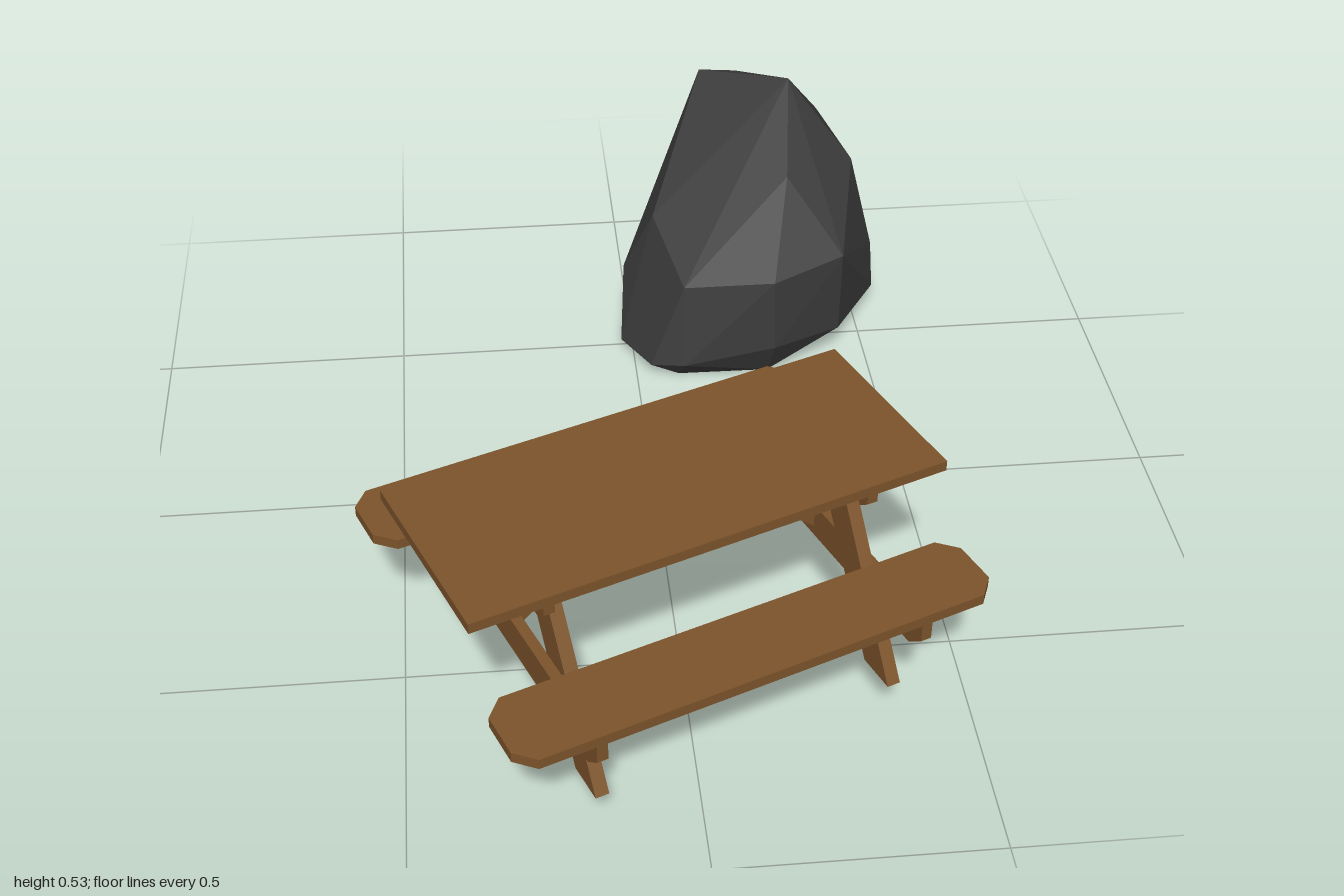
import * as THREE from 'three';
import { ConvexGeometry } from 'three/addons/geometries/ConvexGeometry.js';

const wood = new THREE.MeshStandardMaterial({ color: 0x7d542b });
wood.name = 'wood';
const stone = new THREE.MeshStandardMaterial({ color: 0x3c3c3c });
stone.name = 'stone';

// Flat board: outline extruded, centred on its thickness
function board(points, thickness, name) {
  const shape = new THREE.Shape(points.map(([x, y]) => new THREE.Vector2(x, y)));
  const geometry = new THREE.ExtrudeGeometry(shape, { depth: thickness, bevelEnabled: false });
  geometry.translate(0, 0, -thickness / 2);
  const mesh = new THREE.Mesh(geometry, wood);
  mesh.name = name;
  return mesh;
}

// Crossbeam outline with the lower corners cut off
function beamOutline(half, bottom, top, cut) {
  const mid = bottom + (top - bottom) * 0.45;
  return [[-half + cut, bottom], [half - cut, bottom], [half, mid],
    [half, top], [-half, top], [-half, mid]];
}

function box(w, h, d, x, y, z, name) {
  const mesh = new THREE.Mesh(new THREE.BoxGeometry(w, h, d), wood);
  mesh.position.set(x, y, z);
  mesh.name = name;
  return mesh;
}

function createTable() {
  const table = new THREE.Group();
  table.name = 'picnicTable';
  table.add(box(0.9, 0.02, 0.375, 0, 0.42, 0, 'tableTop'));
  table.add(box(0.07, 0.015, 0.06, 0, 0.4025, 0, 'centreCleat'));

  for (const side of [-1, 1]) {
    // Bench plank with clipped corners
    const L = 0.45, l = 0.417, W = 0.077, w = 0.043;
    const bench = board([[-l, -W], [l, -W], [L, -w], [L, w], [l, W], [-l, W], [-L, w], [-L, -w]], 0.02, 'bench');
    bench.rotation.x = -Math.PI / 2;
    bench.position.set(0, 0.272, side * 0.295);
    table.add(bench);

    // End frame: two crossbeams outside two splayed legs
    const frame = new THREE.Group();
    frame.name = 'endFrame';
    const parts = [
      [board(beamOutline(0.37, 0.195, 0.262, 0.035), 0.02, 'seatBeam'), 0.306],
      [board(beamOutline(0.18, 0.366, 0.41, 0.025), 0.02, 'topBeam'), 0.306],
    ];
    for (const s of [-1, 1]) {
      const leg = [[0.243, 0.085], [0.32, 0.085], [0.133, 0.41], [0.056, 0.41]];
      parts.push([board(leg.map(([z, y]) => [s * z, y]), 0.025, 'leg'), 0.284]);
    }
    for (const [mesh, offset] of parts) {
      mesh.rotation.y = -Math.PI / 2;
      mesh.position.x = side * offset;
      frame.add(mesh);
    }
    table.add(frame);

    // Diagonal brace from the seat beam up to the middle of the top
    const brace = [[0.052, 0.41], [0.296, 0.215], [0.296, 0.256], [0.102, 0.41]];
    table.add(board(brace.map(([x, y]) => [side * x, y]), 0.03, 'diagonalBrace'));
  }
  table.position.set(-0.027, 0, 0.496);
  table.rotation.y = THREE.MathUtils.degToRad(21.85);
  return table;
}

// Faceted boulder as the hull of a few corner points
function createBoulder() {
  const corners = [
    // crown
    [0.355, 0.53, -0.70], [0.18, 0.48, -0.85], [0.255, 0.49, -0.82],
    // shoulders
    [0.445, 0.37, -0.85], [0.49, 0.36, -0.64], [0.33, 0.40, -0.51], [0.05, 0.29, -0.56],
    // flanks
    [0.285, 0.25, -0.335], [0.44, 0.26, -0.41], [0.10, 0.22, -0.38], [-0.01, 0.14, -0.60],
    [0.085, 0.24, -0.78], [0.21, 0.27, -0.94], [0.485, 0.2, -0.95], [0.555, 0.12, -0.84],
    [0.545, 0.14, -0.64],
    // lower rim
    [0.29, 0.085, -0.335], [0.10, 0.04, -0.35], [0.03, 0.03, -0.375], [-0.025, 0.02, -0.49],
    [0, 0.03, -0.67], [0.39, 0.10, -1], [0.565, 0.025, -0.79], [0.55, 0.04, -0.62],
    [0.44, 0.07, -0.42], [0.23, 0.1, -0.95],
    // underside
    [0.01, 0.005, -0.47], [0.09, 0, -0.38], [0.28, 0.005, -0.37], [0.47, 0.008, -0.6],
    [0.45, 0.01, -0.83], [0.36, 0.03, -0.93], [0.12, 0.01, -0.77],
  ];
  const geometry = new ConvexGeometry(corners.map((p) => new THREE.Vector3(...p)));
  const boulder = new THREE.Mesh(geometry, stone);
  boulder.name = 'boulder';
  return boulder;
}

export function createModel() {
  const model = new THREE.Group();
  model.name = 'picnicSpot';
  model.add(createTable(), createBoulder());
  return model;
}
